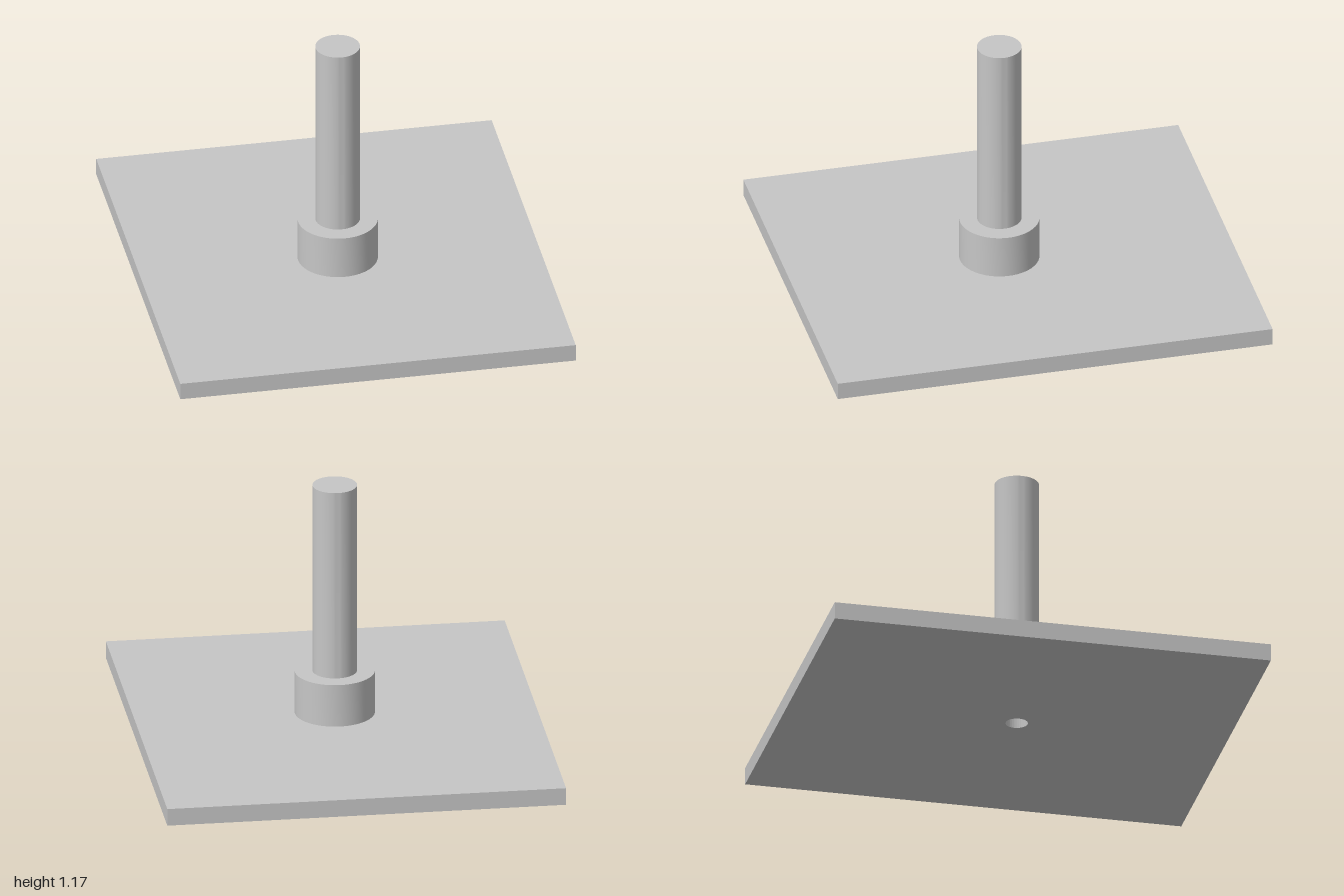
import * as THREE from 'three';
import { toCreasedNormals } from 'three/addons/utils/BufferGeometryUtils.js';

const POST_Z = 0.04;
const BORE_R = 0.05;
const PLATE_H = 0.08;

export function createModel() {
  const group = new THREE.Group();
  group.name = 'postOnPlate';
  const grey = new THREE.MeshStandardMaterial({ color: 0xc6c6c6 });
  grey.name = 'light grey';

  const add = (name, geometry) => {
    const mesh = new THREE.Mesh(toCreasedNormals(geometry, 0.5), grey);
    mesh.name = name;
    group.add(mesh);
    return mesh;
  };

  // Base plate with a round bore under the post
  const outline = new THREE.Shape([
    new THREE.Vector2(-0.9, -1), new THREE.Vector2(0.9, -1),
    new THREE.Vector2(0.9, 1), new THREE.Vector2(-0.9, 1),
  ]);
  outline.holes.push(new THREE.Path().absarc(0, -POST_Z, BORE_R, 0, Math.PI * 2, true));
  const plate = new THREE.ExtrudeGeometry(outline, { depth: PLATE_H, bevelEnabled: false, curveSegments: 48 });
  plate.rotateX(-Math.PI / 2);
  add('basePlate', plate);

  // Collar and post turned in one piece, with the bore running up through the collar
  const profile = [
    [0, 0.28], [BORE_R, 0.28], [BORE_R, PLATE_H],
    [0.18, PLATE_H], [0.18, 0.28], [0.1, 0.28], [0.1, 1.175], [0, 1.175],
  ].map(([r, y]) => new THREE.Vector2(r, y));
  add('collarAndPost', new THREE.LatheGeometry(profile, 64)).position.z = POST_Z;

  return group;
}
